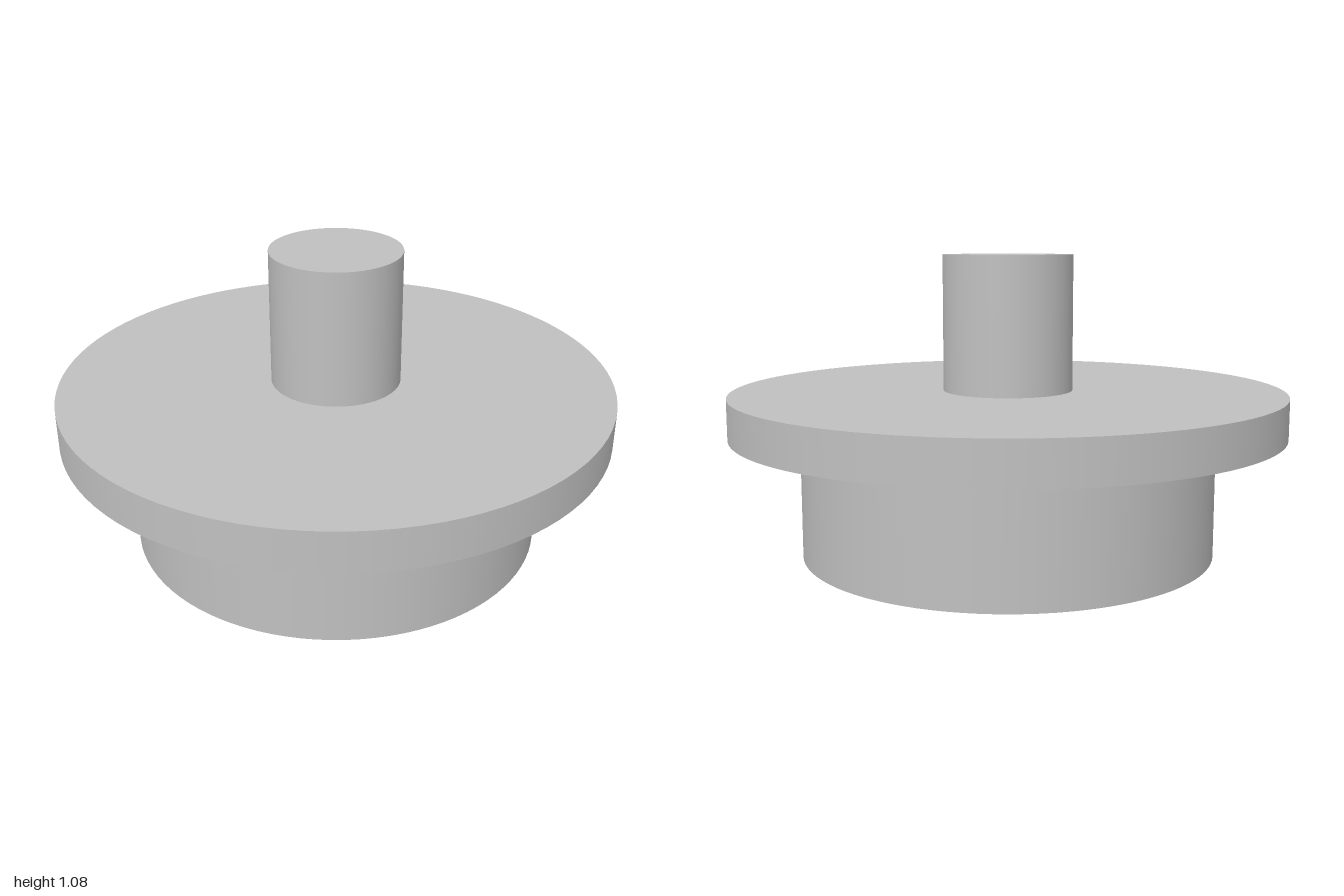
import * as THREE from 'three';

const HEAD_R = 0.752, HEAD_TOP = 0.445, FLANGE_TOP = 0.59, TOP = 1.08;
const ARM = 0.348, HALF = 0.066, DEPTH = 0.062, SEG = 96;

// Counter-clockwise outline of the cross-shaped recess
function crossPoints() {
  const pts = [];
  for (let i = 0; i < 4; i++) {
    for (const [x, y] of [[ARM, -HALF], [ARM, HALF], [HALF, HALF]]) {
      pts.push(new THREE.Vector2(x, y).rotateAround(new THREE.Vector2(), i * Math.PI / 2));
    }
  }
  return pts;
}

// Inward-facing vertical walls along a closed outline
function wallGeometry(pts, h) {
  const pos = [];
  pts.forEach((a, i) => {
    const b = pts[(i + 1) % pts.length];
    pos.push(a.x, 0, a.y, b.x, 0, b.y, b.x, h, b.y);
    pos.push(a.x, 0, a.y, b.x, h, b.y, a.x, h, a.y);
  });
  const g = new THREE.BufferGeometry();
  g.setAttribute('position', new THREE.Float32BufferAttribute(pos, 3));
  g.computeVertexNormals();
  return g;
}

export function createModel() {
  const group = new THREE.Group();
  const grey = new THREE.MeshStandardMaterial({ color: 0xc0c0c0 });
  grey.name = 'plainGrey';

  const add = (name, geometry, parent = group) => {
    const mesh = new THREE.Mesh(geometry, grey);
    mesh.name = name;
    parent.add(mesh);
  };
  const cylinder = (r, y0, y1, open = false) =>
    new THREE.CylinderGeometry(r, r, y1 - y0, SEG, 1, open).translate(0, (y0 + y1) / 2, 0);

  // Pin and flange
  add('pin', cylinder(0.235, FLANGE_TOP - 0.02, TOP));
  add('flange', cylinder(1, HEAD_TOP, FLANGE_TOP));

  // Head with a cross recess in its underside
  const head = new THREE.Group();
  head.name = 'head';
  group.add(head);
  add('headSide', cylinder(HEAD_R, 0, HEAD_TOP, true), head);
  const cross = crossPoints();
  const disc = new THREE.Shape().absarc(0, 0, HEAD_R, 0, Math.PI * 2);
  disc.holes.push(new THREE.Path(cross));
  add('headUnderside', new THREE.ShapeGeometry(disc, SEG / 2).rotateX(Math.PI / 2), head);
  add('recessWalls', wallGeometry(cross, DEPTH), head);
  add('recessFloor', new THREE.ShapeGeometry(new THREE.Shape(cross))
    .rotateX(Math.PI / 2).translate(0, DEPTH, 0), head);

  return group;
}
